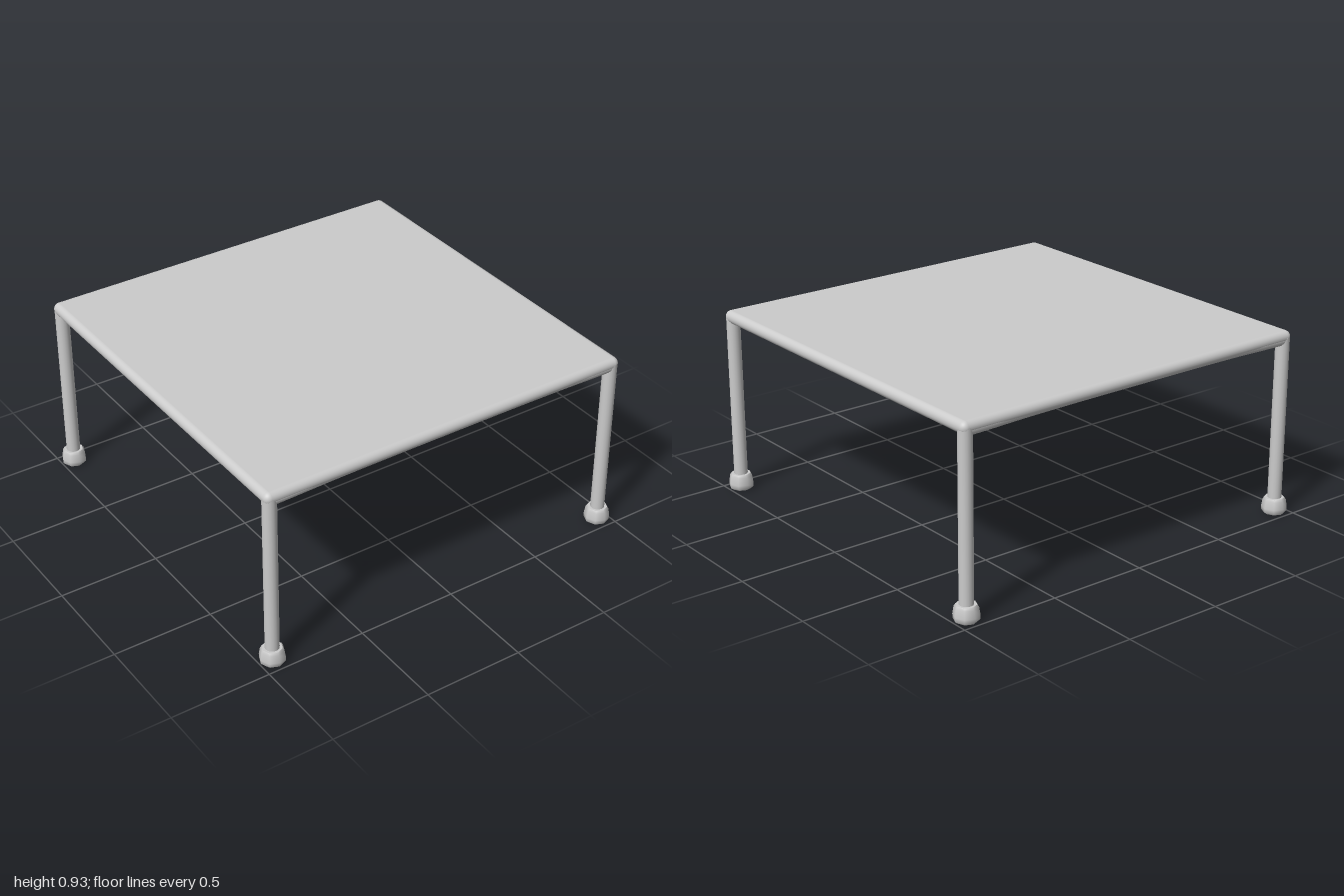
import * as THREE from 'three';
import { RoundedBoxGeometry } from 'three/addons/geometries/RoundedBoxGeometry.js';

const LEG_X = 0.938, LEG_Z = 0.93, LEG_R = 0.034;

export function createModel() {
  const table = new THREE.Group();
  table.name = 'table';
  const material = new THREE.MeshStandardMaterial({ color: 0xcccccc });
  const add = (parent, name, geometry, x = 0, y = 0, z = 0) => {
    const mesh = new THREE.Mesh(geometry, material);
    mesh.name = name;
    mesh.position.set(x, y, z);
    parent.add(mesh);
    return mesh;
  };

  // Thin top with fully rounded edges
  add(table, 'tableTop', new RoundedBoxGeometry(1.945, 0.063, 1.926, 5, 0.031), 0, 0.8995, 0);

  // Front and back rails, dipping gently where they meet the legs
  const railPath = new THREE.CatmullRomCurve3(
    [[-LEG_X, 0.889], [-0.85, 0.89], [-0.6, 0.896], [0, 0.899], [0.6, 0.896], [0.85, 0.89], [LEG_X, 0.889]]
      .map(([x, y]) => new THREE.Vector3(x, y, 0)));
  const railGeometry = new THREE.TubeGeometry(railPath, 32, 0.032, 14);

  // Leg tube and bulging foot cap
  const legGeometry = new THREE.CylinderGeometry(LEG_R, LEG_R, 0.85, 16);
  const footGeometry = new THREE.LatheGeometry(
    [[0, 0], [0.05, 0], [0.05, 0], [0.061, 0.01], [0.062, 0.03], [0.056, 0.068], [0.048, 0.08], [0.048, 0.08], [0.02, 0.08]]
      .map(([r, y]) => new THREE.Vector2(r, y)), 8);
  footGeometry.rotateY(Math.PI / 2);

  for (const sz of [1, -1]) {
    add(table, sz > 0 ? 'frontRail' : 'backRail', railGeometry, 0, 0, sz * LEG_Z);
    for (const sx of [1, -1]) {
      const leg = new THREE.Group();
      leg.name = (sz > 0 ? 'front' : 'back') + (sx > 0 ? 'Left' : 'Right') + 'Leg';
      leg.position.set(sx * LEG_X, 0, sz * LEG_Z);
      add(leg, 'legTube', legGeometry, 0, 0.475, 0);
      add(leg, 'foot', footGeometry);
      table.add(leg);
    }
  }
  return table;
}
